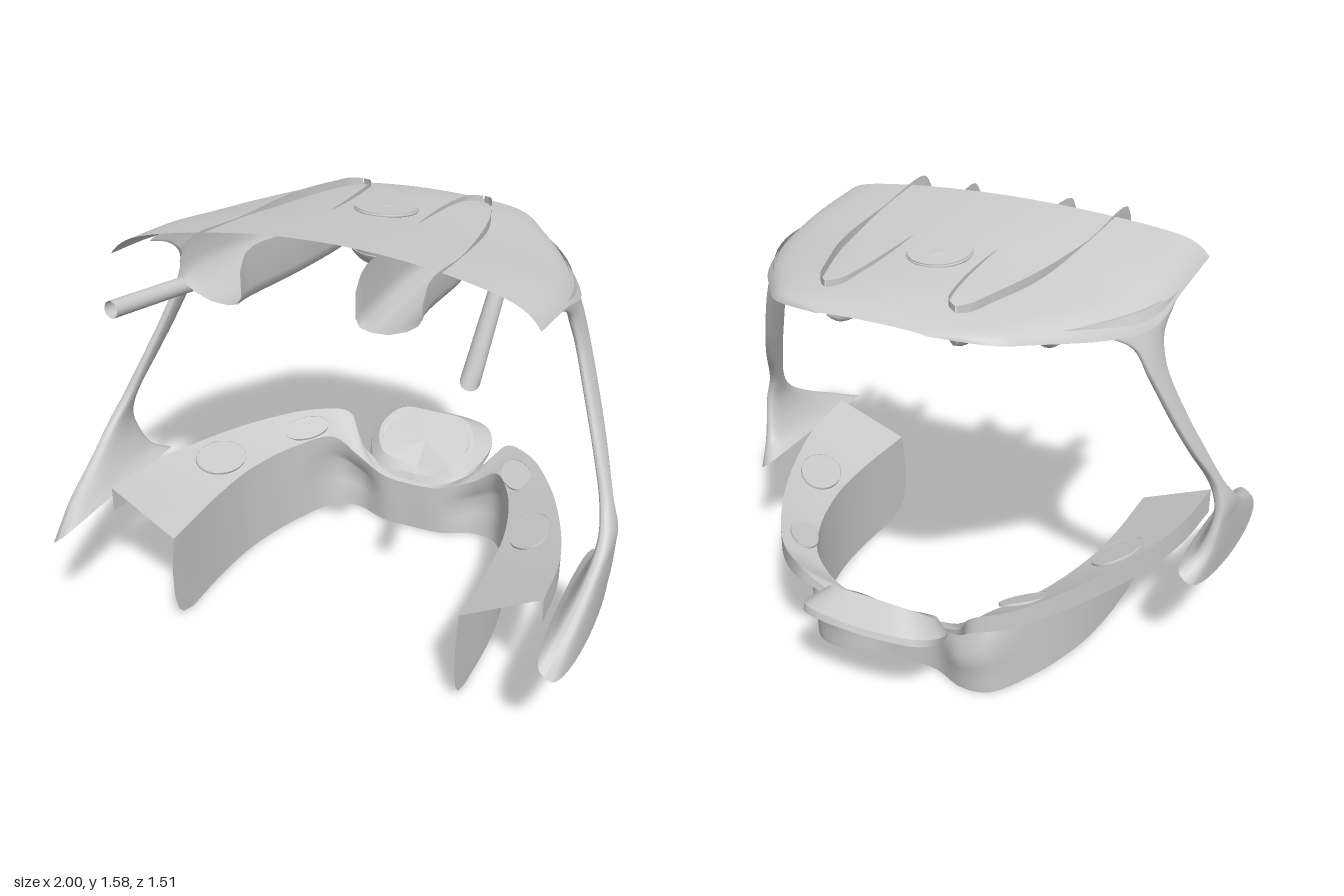
import * as THREE from 'three';

const material = new THREE.MeshStandardMaterial({ color: 0xcccccc, side: THREE.DoubleSide });
const V = (p) => new THREE.Vector3(...p);

function named(geometry, name) {
  const mesh = new THREE.Mesh(geometry, material);
  mesh.name = name;
  return mesh;
}

// Surface through neighbouring columns; each column is a smooth curve sampled n times
function sheet(columns, n) {
  const positions = [], index = [];
  columns.forEach((points) => {
    const curve = new THREE.CatmullRomCurve3(points.map(V));
    for (let j = 0; j <= n; j++) positions.push(...curve.getPoint(j / n).toArray());
  });
  for (let i = 0; i < columns.length - 1; i++) {
    for (let j = 0; j < n; j++) {
      const a = i * (n + 1) + j, b = a + n + 1;
      index.push(a, b, a + 1, b, b + 1, a + 1);
    }
  }
  const geometry = new THREE.BufferGeometry();
  geometry.setAttribute('position', new THREE.Float32BufferAttribute(positions, 3));
  geometry.setIndex(index);
  geometry.computeVertexNormals();
  return geometry;
}

// Half path ending on x = 0, continued on the other side
const mirrorPath = (half) => [...half, ...half.slice(0, -1).reverse().map(([x, y, z]) => [-x, y, z])];

// Adds a +x part and its mirror image
function addPair(group, name, build) {
  for (const [side, s] of [['left', 1], ['right', -1]]) {
    const part = new THREE.Group();
    part.add(build());
    part.name = side + name;
    part.scale.x = s;
    group.add(part);
  }
}

function roof() {
  // centre z, edge z, half width, centre y, edge y
  const stations = [
    [0.40, 0.475, 0.76, 1.575, 1.44], [0.15, 0.20, 0.76, 1.545, 1.405],
    [-0.05, -0.03, 0.745, 1.52, 1.35], [-0.20, -0.19, 0.67, 1.505, 1.355],
    [-0.40, -0.40, 0.51, 1.485, 1.385], [-0.52, -0.52, 0.40, 1.46, 1.405],
    [-0.58, -0.58, 0.20, 1.43, 1.42],
  ];
  const columns = [];
  for (let i = -24; i <= 24; i++) {
    const u = Math.sin((i / 24) * Math.PI / 2), k = u * u;
    columns.push(stations.map(([zc, ze, w, yc, ye]) =>
      [w * u, yc - (yc - ye) * (0.6 * k + 0.4 * k ** 9), zc + (ze - zc) * k]));
  }
  return named(sheet(columns, 36), 'roof');
}

function pillar() {
  // y, front z, front x, back z, back x, half thickness, outward bow, bottom tilt
  const stations = [
    [0.39, 0.755, 0.925, 0.02, 0.91, 0.058, 0.01, 0.045], [0.46, 0.63, 0.945, 0.10, 0.945, 0.046, 0, 0.01],
    [0.55, 0.44, 0.965, 0.14, 0.965, 0.03, 0, 0], [0.63, 0.31, 0.97, 0.16, 0.97, 0.026, 0, 0],
    [0.72, 0.225, 0.945, 0.155, 0.945, 0.022, 0, 0], [0.88, 0.15, 0.885, 0.06, 0.885, 0.02, 0, 0],
    [1.0, 0.10, 0.838, 0, 0.838, 0.02, 0, 0], [1.2, 0.045, 0.767, -0.08, 0.76, 0.018, 0, 0],
    [1.3, 0.075, 0.742, -0.115, 0.715, 0.015, 0.01, 0], [1.36, 0.14, 0.745, -0.2, 0.645, 0.01, 0.03, 0],
    [1.41, 0.26, 0.745, -0.36, 0.51, 0.005, 0.075, 0],
  ];
  const columns = [];
  for (let i = 0; i <= 32; i++) {
    const a = (i / 32) * Math.PI * 2, s = Math.sin(a), f = (1 + Math.cos(a)) / 2;
    const q = Math.sign(s) * Math.abs(s) ** 0.6;
    columns.push(stations.map(([y, zf, xf, zb, xb, t, bow, tilt]) =>
      [xb + (xf - xb) * f + t * q + bow * s * s, y - tilt * q, zb + (zf - zb) * f]));
  }
  const group = new THREE.Group();
  const sole = columns.map((c) => [c[0], [0.927, 0.39, 0.39]]);
  group.add(named(sheet(columns, 50), 'pillarPost'), named(sheet(sole, 1), 'pillarSole'));
  return group;
}

// Trough under the roof, open on top and at the front
function trough() {
  // z, inner x, outer x, bottom y, top y
  const stations = [
    [0.58, 0.20, 0.42, 1.385, 1.51], [0.53, 0.20, 0.42, 1.38, 1.56], [0.2, 0.17, 0.41, 1.355, 1.53],
    [-0.15, 0.165, 0.37, 1.325, 1.515], [-0.35, 0.18, 0.31, 1.32, 1.5],
    [-0.43, 0.20, 0.28, 1.335, 1.492], [-0.46, 0.24, 0.245, 1.36, 1.485],
  ];
  // position across the trough and up its wall
  const profile = [[0, 1], [0, 0.3], [0.06, 0.08], [0.22, 0], [0.5, 0.02], [0.78, 0.2], [0.94, 0.4], [1, 0.6], [1, 1]];
  return named(sheet(profile.map(([u, v]) => stations.map(([z, xi, xo, yb, yt]) =>
    [xi + (xo - xi) * u, yb + (yt - yb) * v, z])), 36), 'troughShell');
}

function handle() {
  const group = new THREE.Group();
  const path = new THREE.CurvePath();
  path.add(new THREE.LineCurve3(V([0.62, 1.35, 0.7]), V([0.435, 1.285, -0.07])));
  path.add(new THREE.QuadraticBezierCurve3(V([0.435, 1.285, -0.07]), V([0.41, 1.275, -0.17]), V([0.44, 1.34, -0.19])));
  path.add(new THREE.LineCurve3(V([0.44, 1.34, -0.19]), V([0.465, 1.43, -0.21])));
  const foot = named(new THREE.CylinderGeometry(0.055, 0.032, 0.05, 20), 'handleBase');
  foot.position.set(0.455, 1.385, -0.2);
  group.add(named(new THREE.TubeGeometry(path, 60, 0.03, 14), 'handleBar'), foot);
  return group;
}

function dial(radius, depth) {
  const group = new THREE.Group();
  const rim = named(new THREE.TorusGeometry(radius, 0.005, 6, 36), 'dialRim');
  rim.rotation.x = Math.PI / 2;
  group.add(rim, named(new THREE.CylinderGeometry(radius, radius, depth, 36), 'dialFace'));
  return group;
}

function consoleBody() {
  const group = new THREE.Group();
  group.name = 'console';
  const plan = [[0.56, 0], [0.56, 0.2], [0.535, -0.02], [0.46, -0.26], [0.36, -0.42], [0.26, -0.44], [0.13, -0.40], [0, -0.395]];
  const topY = [0.37, 0.37, 0.37, 0.36, 0.345, 0.27, 0.22, 0.21];
  // Wall rows: share of the height, z of the front edge, backward flare of the corners
  const rows = [
    [0, 0.45, 0.01], [0.06, 0.52, 0.012], [0.15, 0.55, 0.014], [0.35, 0.57, 0.02],
    [0.6, 0.57, 0.04], [0.75, 0.565, 0], [1, 0.545, -0.01],
  ].map(([h, front, flare]) => plan.map(([x, z], i) =>
    [x, topY[i] * h, i ? z - (i === 4 || i === 5 ? flare : 0) : front]));
  const inner = rows.at(-1);
  const outer = [
    [0.84, 0.50, 0.51], [0.82, 0.482, 0.27], [0.765, 0.465, 0.06], [0.635, 0.445, -0.24],
    [0.47, 0.42, -0.48], [0.35, 0.395, -0.55], [0.26, 0.28, -0.49], [0, 0.22, -0.42],
  ];
  const drop = [0.1, 0.095, 0.09, 0.08, 0.07, 0.06, 0.02, 0.005];
  const skirt = outer.map(([x, y, z], i) => [x, y - drop[i], z]);
  const strip = (...half) => sheet(half.map(mirrorPath), 96);
  group.add(named(strip(...rows), 'consoleWall'), named(strip(inner, outer), 'consoleTop'),
    named(strip(outer, skirt), 'consoleSkirt'));

  // Oval dials: centre, inward tilted normal, direction along the console, half length, half width
  const dials = [
    [[0.645, 0.422, 0.04], [-0.38, 0.92, 0.06], [0.3, 0.06, 0.95], 0.115, 0.08],
    [[0.462, 0.393, -0.355], [-0.28, 0.92, 0.26], [0.6, 0, 0.8], 0.1, 0.055],
  ];
  for (const [centre, up, along, length, width] of dials) {
    addPair(group, 'Dial', () => {
      const d = dial(1, 0.006), normal = V(up).normalize();
      const across = normal.clone().cross(V(along)).normalize();
      d.quaternion.setFromRotationMatrix(new THREE.Matrix4().makeBasis(across, normal, across.clone().cross(normal)));
      d.scale.set(width, 1, length);
      d.position.set(...centre);
      return d;
    });
  }
  return group;
}

// Rounded screen hood, open below: rings from its lower edge to the sunken screen
function screen() {
  const half = [
    [[0, 0.205, -0.405], [0.18, 0.22, -0.43], [0.26, 0.295, -0.60], [0.225, 0.34, -0.715], [0, 0.355, -0.76]],
    [[0, 0.245, -0.425], [0.175, 0.25, -0.45], [0.265, 0.32, -0.60], [0.22, 0.365, -0.71], [0, 0.375, -0.75]],
    [[0, 0.265, -0.455], [0.16, 0.295, -0.47], [0.21, 0.355, -0.56], [0.15, 0.42, -0.635], [0, 0.43, -0.645]],
  ];
  const rings = half.map((p) => [p[0], ...mirrorPath(p.slice(1)), p[0]]);
  const centre = [0, 0.355, -0.56];
  const inset = (k, sink) => rings[2].map((p) => p.map((v, i) => v + (centre[i] - v) * k - [0, sink, -sink][i]));
  rings.push(inset(0.09, 0), inset(0.12, 0.012), inset(0.999, 0.012));
  const group = new THREE.Group();
  group.name = 'screen';
  // Separate bands between rings keep the rims sharp
  for (let r = 0; r < rings.length - 1; r++) {
    group.add(named(sheet([rings[r], rings[r + 1]], 72), 'screenBand'));
  }
  return group;
}

export function createModel() {
  const model = new THREE.Group();
  model.name = 'cockpitFrame';
  model.add(roof(), consoleBody(), screen());
  addPair(model, 'Pillar', pillar);
  addPair(model, 'Trough', trough);
  addPair(model, 'Handle', handle);

  // Ceiling lamp with its seam, and the cap above it
  const lamp = new THREE.Group();
  lamp.name = 'ceilingLamp';
  const seam = named(new THREE.TorusGeometry(0.136, 0.004, 8, 40), 'lampSeam');
  seam.rotation.x = Math.PI / 2 + 0.3;
  lamp.add(named(new THREE.SphereGeometry(0.137, 36, 24), 'lampBall'), seam);
  lamp.scale.y = 0.8;
  lamp.position.set(0, 1.415, -0.12);
  const cap = dial(0.11, 0.016);
  cap.name = 'roofCap';
  cap.position.set(0, 1.515, -0.12);
  cap.rotation.x = -0.11;
  model.add(lamp, cap);
  return model;
}
